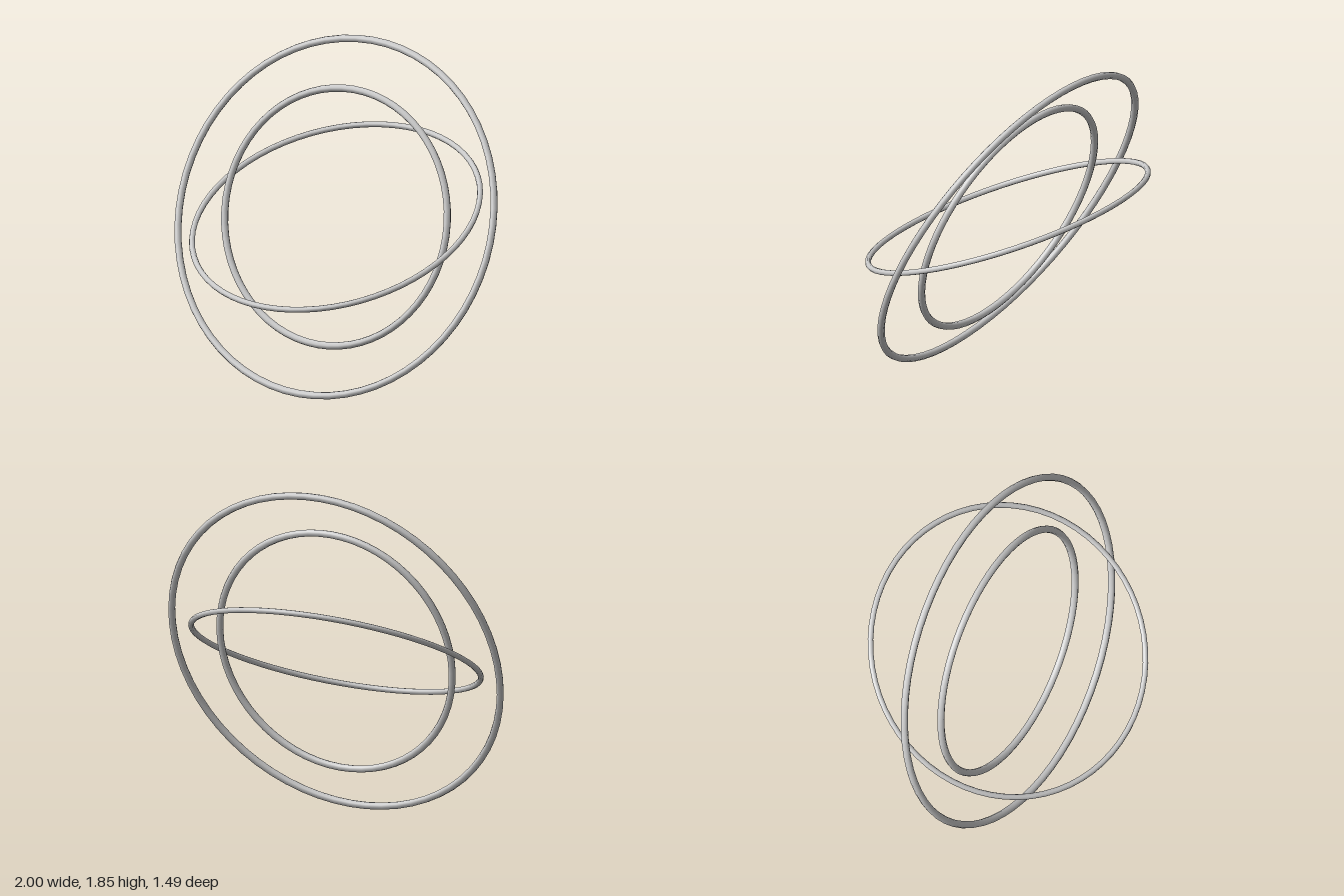
import * as THREE from 'three';

export function createModel() {
  const group = new THREE.Group();
  const silver = new THREE.MeshStandardMaterial({ color: 0xcccccc });
  silver.name = 'silver';

  // Concentric rings sharing one centre, each tipped back about the x axis
  const rings = [
    { name: 'outerRing', radius: 0.98, tube: 0.02, tilt: 22.5 },
    { name: 'middleRing', radius: 0.8, tube: 0.016, tilt: 66 },
    { name: 'innerRing', radius: 0.7, tube: 0.02, tilt: 15.5 },
  ];
  for (const { name, radius, tube, tilt } of rings) {
    const ring = new THREE.Mesh(new THREE.TorusGeometry(radius, tube, 8, 64), silver);
    ring.name = name;
    ring.position.y = 0.925;
    ring.rotation.x = -THREE.MathUtils.degToRad(tilt);
    group.add(ring);
  }
  return group;
}
